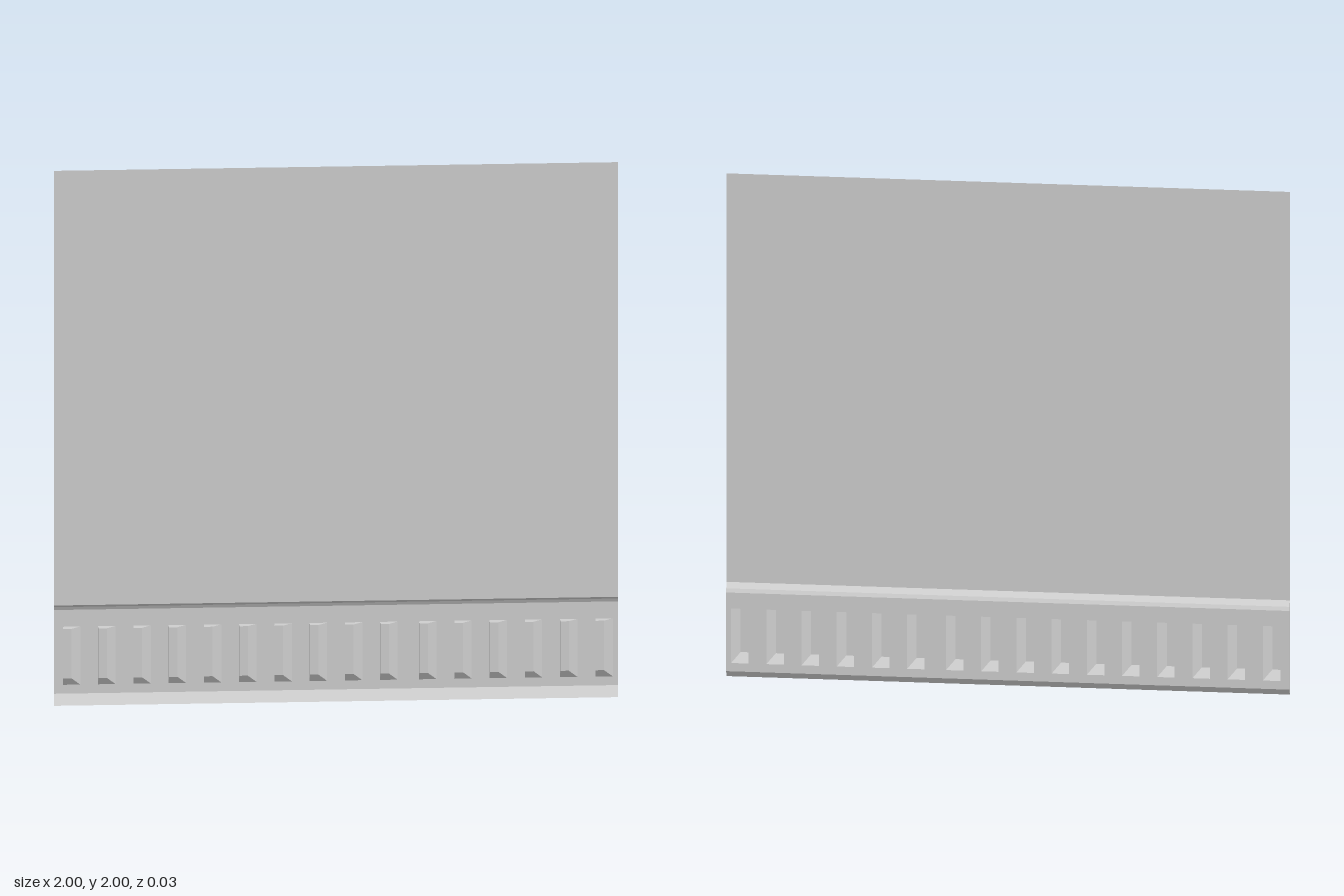
import * as THREE from 'three';

const BACK = -0.015, FRONT = 0.015, RIDGE = 0.01;
const SLOT_W = 0.062, SLOT_BOTTOM = 0.068, SLOT_TOP = 0.285, BEVEL = 0.032;

// Flat-faced surface from a list of four-cornered faces
function quads(faces) {
  const pos = [];
  for (const [a, b, c, d] of faces) pos.push(...a, ...b, ...c, ...a, ...c, ...d);
  const g = new THREE.BufferGeometry();
  g.setAttribute('position', new THREE.Float32BufferAttribute(pos, 3));
  g.computeVertexNormals();
  return g;
}

// Strip running the full width between two [y, z] profile points
const strip = ([y0, z0], [y1, z1]) => [[-1, y0, z0], [1, y0, z0], [1, y1, z1], [-1, y1, z1]];

export function createModel() {
  const group = new THREE.Group();
  const grey = new THREE.MeshStandardMaterial({ color: 0xcccccc, side: THREE.DoubleSide });
  grey.name = 'grey';
  const add = (name, geometry) => {
    const mesh = new THREE.Mesh(geometry, grey);
    mesh.name = name;
    group.add(mesh);
    return mesh;
  };

  // Thin upper sheet, flush with the tips of the rail
  add('upperPanel', quads([strip([0.375, FRONT], [2, FRONT])]));

  // Folded rims of the open channel
  add('lowerRim', quads([strip([0, FRONT], [0.035, BACK])]));
  const top = [[0.348, BACK], [0.361, -0.008], [0.375, FRONT]];
  add('upperRim', quads([strip(top[0], top[1]), strip(top[1], top[2])]));

  // End caps of the channel
  const profile = new THREE.Shape([[FRONT, 0], [BACK, 0.035], ...top.map(([y, z]) => [z, y])]
    .map(([z, y]) => new THREE.Vector2(-z, y)));
  for (const [name, x] of [['leftEnd', 1], ['rightEnd', -1]]) {
    const cap = add(name, new THREE.ShapeGeometry(profile));
    cap.rotation.y = Math.PI / 2;
    cap.position.x = x;
  }

  // Back wall with a row of slots, each covered by a pressed louver
  const wall = new THREE.Shape([[-1, 0.035], [1, 0.035], [1, 0.348], [-1, 0.348]]
    .map(p => new THREE.Vector2(...p)));
  const louverFaces = [];
  for (let i = 0; i < 16; i++) {
    const x0 = -0.968 + i * 0.125 + (i > 9 ? 0.013 : 0), x1 = x0 + SLOT_W;
    const base = [[x0, SLOT_BOTTOM], [x1, SLOT_BOTTOM], [x1, SLOT_TOP], [x0, SLOT_TOP]];
    wall.holes.push(new THREE.Path(base.map(p => new THREE.Vector2(...p))));

    // Square top and right-hand side, sloped bottom and left-hand side
    const xm = x1 - BEVEL, ym = SLOT_BOTTOM + BEVEL;
    const low = base.map(p => [...p, BACK]);
    const high = [[x0, ym], [xm, ym], [xm, SLOT_TOP], [x0, SLOT_TOP]].map(p => [...p, RIDGE]);
    louverFaces.push(high);
    for (let k = 0; k < 4; k++) {
      const n = (k + 1) % 4;
      louverFaces.push([low[k], low[n], high[n], high[k]]);
    }
  }
  add('slottedWall', new THREE.ShapeGeometry(wall)).position.z = BACK;
  add('louvers', quads(louverFaces));

  return group;
}
